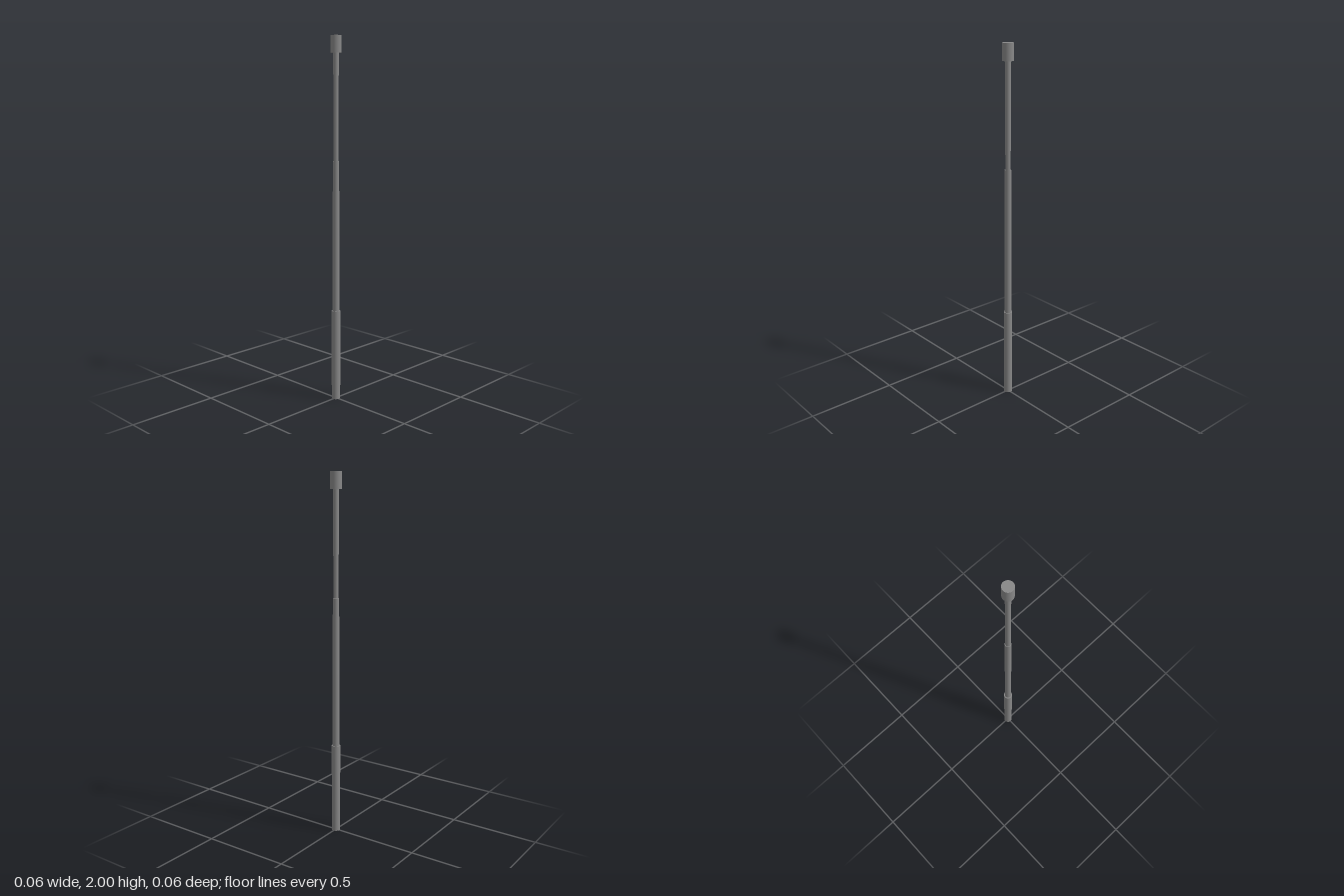
import * as THREE from 'three';

// Telescopic rod: stacked closed tubes, thinning upward to a wider end cap
const SECTIONS = [
  // name, bottom radius, top radius, bottom, top
  ['grip', 0.024, 0.024, 0, 0.51],
  ['middleTube', 0.0187, 0.0173, 0.51, 1.34],
  ['upperTube', 0.0145, 0.0145, 1.34, 1.91],
  ['endCap', 0.03, 0.03, 1.91, 2],
];

export function createModel() {
  const model = new THREE.Group();
  model.name = 'telescopicRod';
  const material = new THREE.MeshStandardMaterial({ color: 0x888888 });

  for (const [name, bottomRadius, topRadius, bottom, top] of SECTIONS) {
    const geometry = new THREE.CylinderGeometry(topRadius, bottomRadius, top - bottom, 32);
    const section = new THREE.Mesh(geometry, material);
    section.name = name;
    section.position.y = (bottom + top) / 2;
    model.add(section);
  }
  return model;
}
